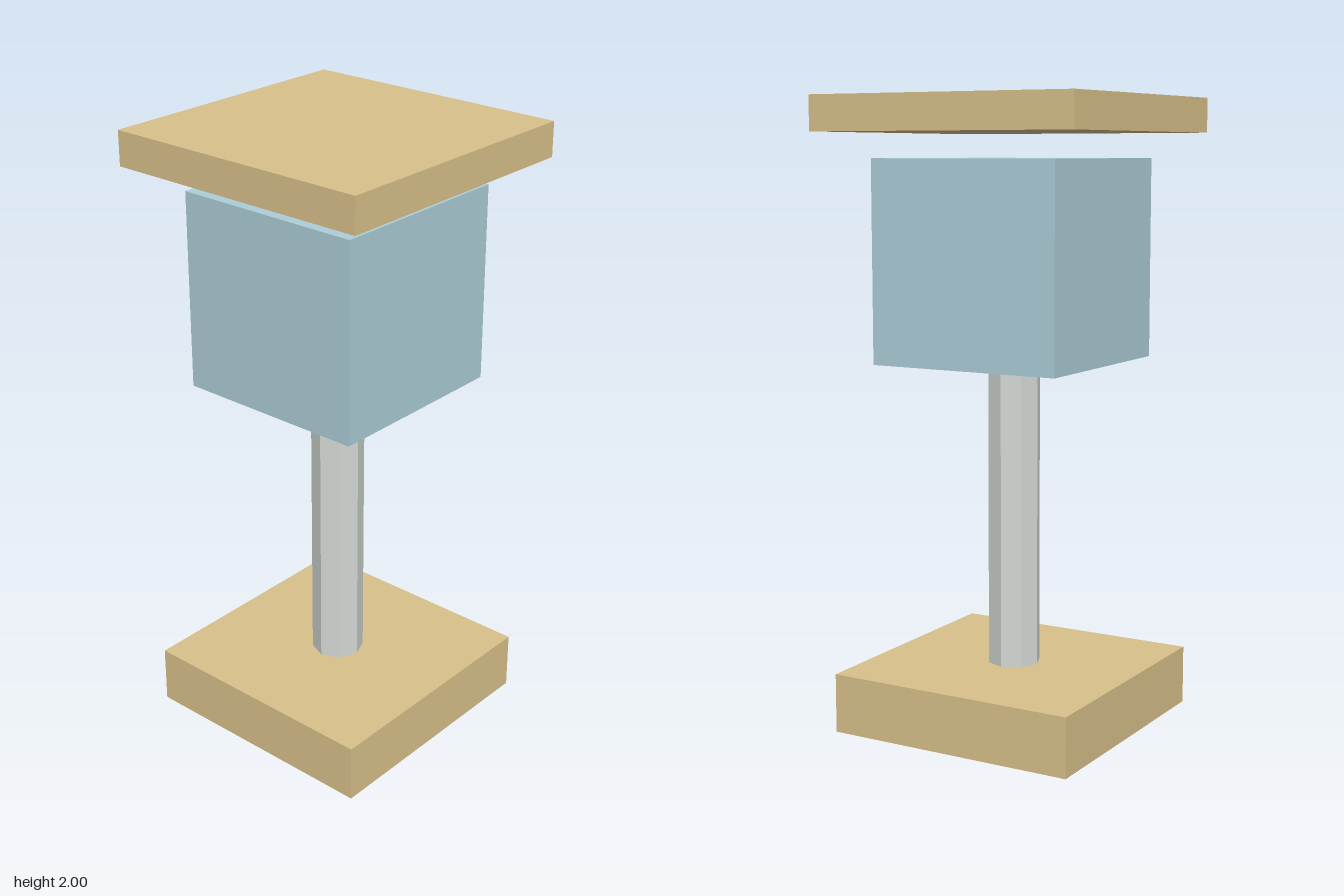
import * as THREE from 'three';

const WOOD = 0xd8c08a, GLASS = 0xaccdd7, METAL = 0xd2d8d4;

// Adds a flat-shaded part whose underside sits at the given height.
function addPart(group, name, geometry, color, bottom, height) {
  const material = new THREE.MeshStandardMaterial({ color, flatShading: true });
  const mesh = new THREE.Mesh(geometry, material);
  mesh.name = name;
  mesh.position.y = bottom + height / 2;
  group.add(mesh);
}

export function createModel() {
  const group = new THREE.Group();
  group.name = 'lampPost';

  // Square slabs and lantern block: name, width, bottom, top, colour
  const blocks = [
    ['base', 0.83, 0, 0.19, WOOD],
    ['lantern', 0.64, 1.175, 1.81, GLASS],
    ['roof', 0.905, 1.89, 2, WOOD],
  ];
  for (const [name, width, bottom, top, color] of blocks) {
    const height = top - bottom;
    addPart(group, name, new THREE.BoxGeometry(width, height, width), color, bottom, height);
  }

  // Octagonal post between base and lantern
  const postHeight = 1.175 - 0.19;
  addPart(group, 'post', new THREE.CylinderGeometry(0.085, 0.085, postHeight, 8), METAL, 0.19, postHeight);

  return group;
}
